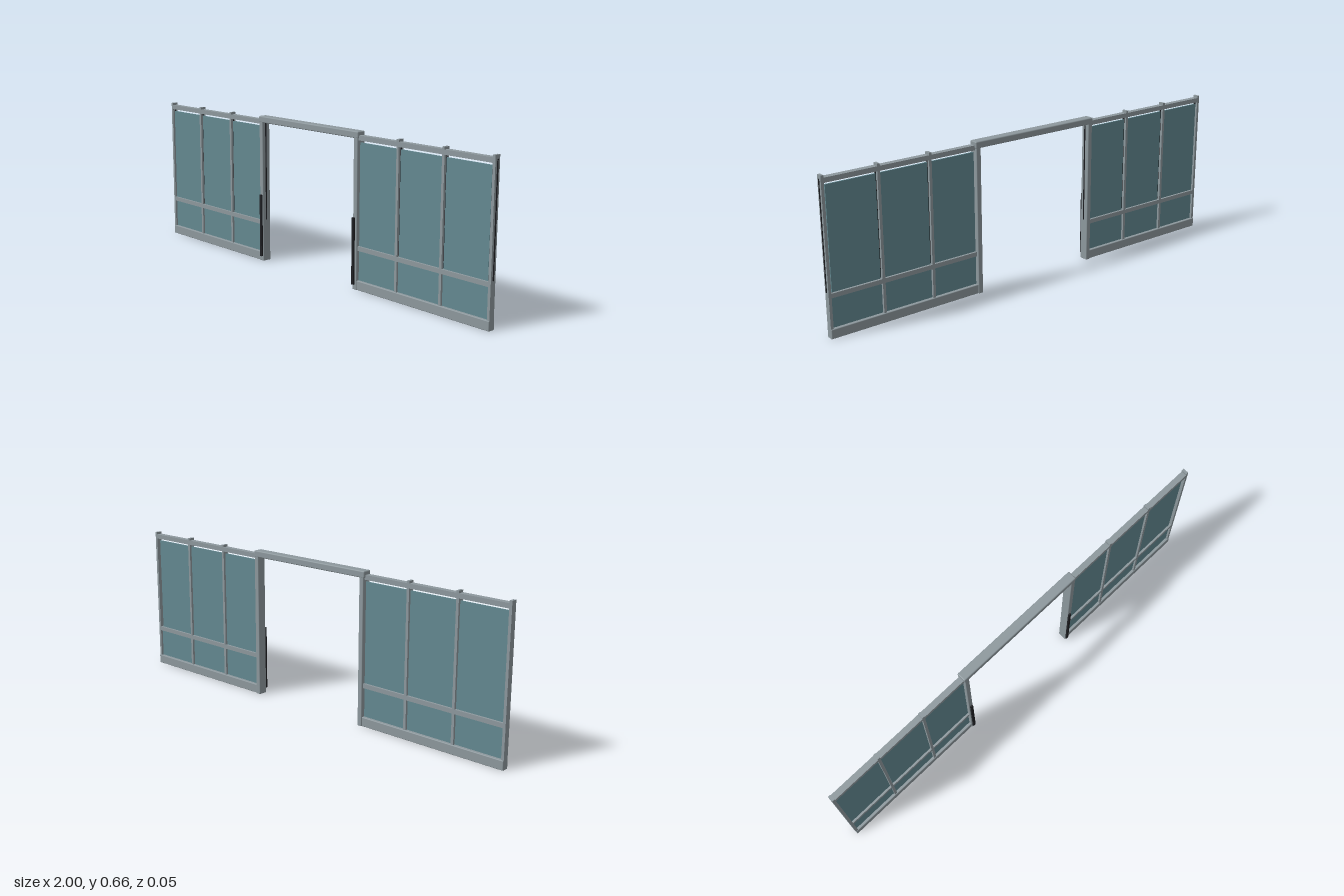
import * as THREE from 'three';
import { RoundedBoxGeometry } from 'three/addons/geometries/RoundedBoxGeometry.js';

export function createModel() {
  const model = new THREE.Group();
  model.name = 'glazedDoorway';

  const mat = (name, color) => {
    const m = new THREE.MeshStandardMaterial({ color });
    m.name = name;
    return m;
  };
  const metal = mat('greyMetal', 0x8d989d);
  const glass = mat('tealGlass', 0x638890);
  const black = mat('blackTrim', 0x1f2024);

  // Box given by its limits on each axis; radius > 0 rounds the edges
  const box = (parent, name, material, [x0, x1], [y0, y1], [z0, z1], radius = 0) => {
    const size = [x1 - x0, y1 - y0, z1 - z0];
    const geometry = radius
      ? new RoundedBoxGeometry(...size, 2, radius)
      : new THREE.BoxGeometry(...size);
    const mesh = new THREE.Mesh(geometry, material);
    mesh.name = name;
    mesh.position.set((x0 + x1) / 2, (y0 + y1) / 2, (z0 + z1) / 2);
    parent.add(mesh);
  };

  const depth = [-0.014, 0.012];
  const jambDepth = [-0.023, 0.018];
  const gasketDepth = [-0.003, 0.002];
  const gasketHeight = [0.19, 0.64];

  // One glazed wall: rails, posts and panes between the given posts
  const wall = (name, x0, x1, posts) => {
    const g = new THREE.Group();
    g.name = name;
    model.add(g);
    box(g, 'baseRail', metal, [x0, x1], [0, 0.04], [-0.018, 0.015], 0.003);
    box(g, 'middleRail', metal, [x0, x1], [0.167, 0.186], depth);
    box(g, 'topRail', metal, [x0, x1], [0.625, 0.645], depth);

    for (const x of posts) {
      box(g, 'post', metal, [x - 0.006, x + 0.006], [0, 0.655], depth);
      box(g, 'postGasket', black, [x + 0.006, x + 0.0085], gasketHeight, gasketDepth);
    }

    // Upper panes sit clear of the frame, lower panes fill it
    const edges = [x0, ...posts.filter((x) => x - x0 > 0.02 && x1 - x > 0.02), x1];
    for (let i = 0; i < edges.length - 1; i++) {
      const [a, b] = [edges[i], edges[i + 1]];
      const right = b === x1 && x1 > 0.9 ? b - 0.02 : b - 0.004;
      box(g, 'upperPane', glass, [a + 0.009, right], [0.186, 0.615], [-0.004, 0.003]);
      box(g, 'lowerPane', glass, [a + 0.004, b - 0.004], [0.04, 0.167], [-0.004, 0.003]);
    }
  };
  wall('rightWall', -1, -0.305, [-0.994, -0.764, -0.531]);
  wall('leftWall', 0.3, 0.997, [0.523, 0.755, 0.991]);

  // Doorway: jambs and header
  box(model, 'rightJamb', metal, [-0.313, -0.292], [0, 0.64], jambDepth, 0.003);
  box(model, 'leftJamb', metal, [0.286, 0.308], [0, 0.64], jambDepth, 0.003);
  box(model, 'header', metal, [-0.317, 0.31], [0.632, 0.661], [-0.0235, 0.0185], 0.005);
  box(model, 'jambGasket', black, [-0.292, -0.2895], gasketHeight, gasketDepth);

  // Long pull bars on the front of both jambs
  for (const x of [-0.302, 0.292]) {
    box(model, 'pullBar', black, [x - 0.006, x + 0.006], [0.022, 0.306], [0.018, 0.025]);
  }

  return model;
}
